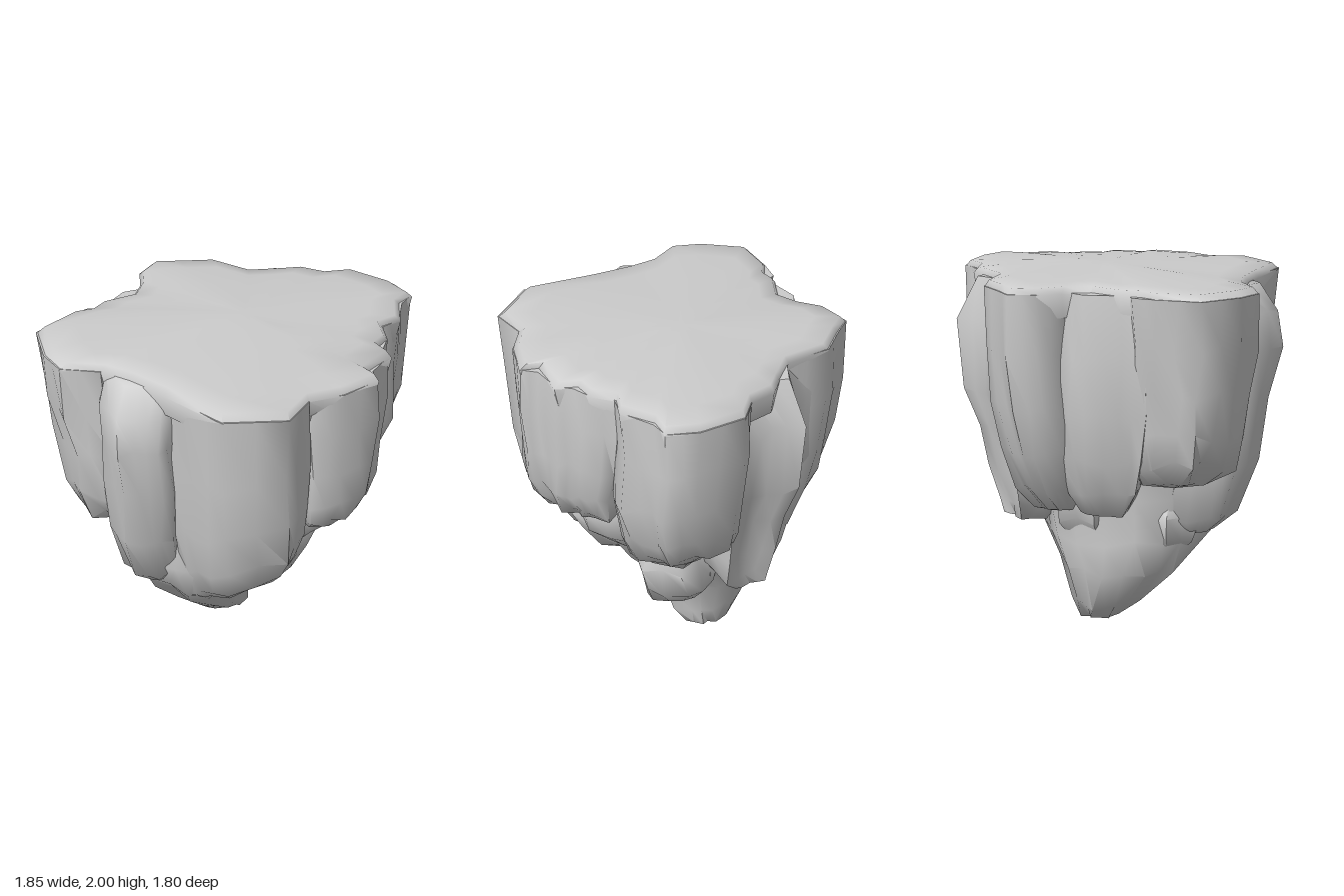
import * as THREE from 'three';
import { toCreasedNormals } from 'three/addons/utils/BufferGeometryUtils.js';

const material = new THREE.MeshStandardMaterial({ color: 0xcccccc });

// Small seeded noise in -1..1
function makeNoise(seed) {
  let s = seed * 7919 + 17;
  return () => {
    s = (s * 16807) % 2147483647;
    return (s / 2147483647) * 2 - 1;
  };
}

// Lofts a plan outline [x, z] through rings [y, scaleX, dx, dz, scaleZ], top to bottom.
// slant tilts the lower end along x and z; rough is the size of the chipping.
function rock(name, outline, rings, { slant = [0, 0], rough = 0.022, seed = 1, crown = 0, split = true } = {}) {
  const noise = makeNoise(seed);
  const plan = [];
  outline.forEach(([x, z], i) => {
    const [nx, nz] = outline[(i + 1) % outline.length];
    plan.push([x, z]);
    if (split) plan.push([(x + nx) / 2, (z + nz) / 2]);
  });
  const n = plan.length;
  const cx = plan.reduce((a, p) => a + p[0], 0) / n;
  const cz = plan.reduce((a, p) => a + p[1], 0) / n;
  const top = rings[0][0];
  const last = rings[rings.length - 1];
  const pos = [];
  const index = [];
  rings.forEach(([y, sx, dx = 0, dz = 0, sz = sx], r) => {
    const t = (top - y) / (top - last[0]);
    const j = r === 0 ? 0 : rough;
    const jy = r === 0 || r === rings.length - 1 ? 0 : rough * 1.6;
    for (const [px, pz] of plan) {
      const x = (px - cx) * sx;
      const z = (pz - cz) * sz;
      pos.push(cx + x + dx + noise() * j,
        y + t * (slant[0] * x + slant[1] * z) + noise() * jy,
        cz + z + dz + noise() * j);
    }
    if (r === 0) return;
    for (let i = 0; i < n; i++) {
      const a = (r - 1) * n + i, b = (r - 1) * n + (i + 1) % n;
      index.push(a, a + n, b + n, a, b + n, b);
    }
  });
  // Closing fans at both ends
  const topMid = rings.length * n;
  const base = topMid - n;
  pos.push(cx + (rings[0][2] || 0), top + crown, cz + (rings[0][3] || 0));
  pos.push(cx + (last[2] || 0), last[0] - 0.02, cz + (last[3] || 0));
  for (let i = 0; i < n; i++) {
    const k = (i + 1) % n;
    index.push(topMid, i, k, topMid + 1, base + k, base + i);
  }
  const geometry = new THREE.BufferGeometry();
  geometry.setAttribute('position', new THREE.Float32BufferAttribute(pos, 3));
  geometry.setIndex(index);
  const mesh = new THREE.Mesh(toCreasedNormals(geometry, 1.1), material);
  mesh.name = name;
  return mesh;
}

// Regular plan outline around a centre
const round = (x, z, r, sides) => Array.from({ length: sides }, (_, i) => {
  const a = (i / sides) * Math.PI * 2;
  return [x + r * Math.cos(a), z - r * Math.sin(a)];
});

export function createModel() {
  const island = new THREE.Group();
  island.name = 'floatingIsland';

  // Gently domed ground with a worn rim
  const rim = [[-0.92, 0.4], [-0.77, 0.61], [-0.63, 0.71], [-0.43, 0.66], [-0.25, 0.69], [-0.03, 0.76],
    [0.33, 0.9], [0.63, 0.76], [0.66, 0.55], [0.8, 0.43], [0.92, 0.23], [0.84, 0.18], [0.91, -0.03],
    [0.82, -0.1], [0.84, -0.2], [0.77, -0.33], [0.84, -0.43], [0.78, -0.62], [0.82, -0.73], [0.68, -0.83],
    [0.43, -0.89], [0.3, -0.81], [0.15, -0.82], [0.05, -0.76], [-0.12, -0.67], [-0.37, -0.72], [-0.55, -0.63],
    [-0.67, -0.58], [-0.69, -0.43], [-0.63, -0.3], [-0.61, -0.15], [-0.74, 0], [-0.76, 0.1], [-0.84, 0.17]];
  island.add(rock('groundTop', rim,
    [[1.995, 0.2], [1.985, 0.5], [1.972, 0.8], [1.96, 0.955], [1.925, 0.995], [1.8, 0.965]],
    { crown: 0.005, rough: 0.001, split: false }));

  // Tapering heart of the rock
  island.add(rock('core', round(0, 0, 1, 9), [
    [1.85, 0.6, 0.03, 0, 0.65], [1.0, 0.54, 0.05, 0.02, 0.62], [0.75, 0.47, 0, 0.09, 0.56],
    [0.54, 0.39, -0.08, 0.06, 0.49], [0.35, 0.31, -0.15, 0, 0.34],
    [0.15, 0.23, -0.13, -0.08, 0.2], [0.02, 0.12, -0.08, -0.12, 0.1]], { rough: 0.02, seed: 5 }));

  // Hanging cliff slabs around the rim
  island.add(rock('frontLeftCliff',
    [[-0.92, 0.4], [-0.77, 0.61], [-0.63, 0.71], [-0.42, 0.66], [-0.3, 0.3], [-0.5, 0], [-0.78, 0.05], [-0.84, 0.17]],
    [[1.93, 0.99], [1.65, 0.96, 0.02], [1.4, 0.92, 0.05], [1.15, 0.91, 0.06, -0.02], [1.0, 0.78, 0.08, -0.04],
      [0.89, 0.48, 0.13, -0.08]], { slant: [-0.25, 0], seed: 2 }));

  island.add(rock('frontColumn',
    [[-0.45, 0.62], [-0.41, 0.75], [-0.25, 0.88], [-0.1, 0.83], [-0.01, 0.76], [-0.02, 0.4], [-0.44, 0.4]],
    [[1.93, 1, 0, -0.14], [1.78, 1, 0, -0.04], [1.6, 0.99, 0, -0.01], [1.3, 0.98, -0.01, -0.07],
      [0.95, 0.93, -0.03, -0.12], [0.66, 0.78, -0.02, -0.2], [0.57, 0.5, -0.02, -0.25]],
    { rough: 0.012, seed: 3 }));

  island.add(rock('frontRightCliff',
    [[-0.06, 0.7], [0.1, 0.8], [0.33, 0.9], [0.63, 0.76], [0.66, 0.55], [0.5, 0.2], [0, 0.3]],
    [[1.93, 0.99], [1.5, 0.98, 0, -0.03], [1.15, 0.96, 0, -0.07], [0.88, 0.92, -0.02, -0.12],
      [0.7, 0.83, -0.04, -0.17], [0.61, 0.65, -0.06, -0.22]], { slant: [0.52, 0], rough: 0.016, seed: 4 }));

  island.add(rock('leftSideCliff',
    [[0.66, 0.52], [0.8, 0.43], [0.91, 0.23], [0.86, 0.15], [0.89, -0.02], [0.84, -0.1], [0.83, -0.2],
      [0.75, -0.33], [0.4, -0.25], [0.4, 0.4]],
    [[1.93, 0.99], [1.7, 0.98, 0.01], [1.45, 0.94, 0, 0.01, 0.92], [1.25, 0.88, 0, 0.03, 0.82],
      [1.12, 0.76, -0.03, 0.04], [1.06, 0.55, -0.06, 0.05]], { rough: 0.013, seed: 6 }));

  island.add(rock('rearLeftCliff',
    [[0.75, -0.28], [0.83, -0.43], [0.79, -0.62], [0.81, -0.73], [0.68, -0.83], [0.43, -0.89], [0.3, -0.81],
      [0.25, -0.5], [0.4, -0.2]],
    [[1.93, 0.99], [1.65, 0.99], [1.35, 0.96, 0, 0.03], [1.12, 0.9, -0.04, 0.05], [0.98, 0.78, -0.08, 0.08],
      [0.9, 0.55, -0.11, 0.12]], { slant: [0.2, -0.38], rough: 0.016, seed: 7 }));

  island.add(rock('rearColumn',
    [[0.32, -0.8], [0.15, -0.81], [0, -0.9], [-0.13, -0.76], [-0.32, -0.7], [-0.3, -0.4], [0.28, -0.4]],
    [[1.93, 0.95, 0, 0.11], [1.7, 1, 0, 0.01], [1.3, 0.98, 0, 0.03], [1.1, 0.94, 0, 0.1], [0.85, 0.86, 0, 0.14],
      [0.68, 0.72, 0, 0.15], [0.59, 0.5, 0, 0.13]], { rough: 0.014, seed: 8 }));

  island.add(rock('rearRightCliff',
    [[-0.1, -0.66], [-0.37, -0.72], [-0.55, -0.63], [-0.67, -0.58], [-0.69, -0.43], [-0.6, -0.28], [-0.3, -0.2],
      [-0.05, -0.4]],
    [[1.93, 0.99], [1.6, 1], [1.3, 0.97, 0.02, 0.02], [1.05, 0.9, 0.05, 0.05], [0.83, 0.75, 0.1, 0.1],
      [0.7, 0.5, 0.13, 0.14]], { slant: [-0.15, 0], rough: 0.016, seed: 9 }));

  island.add(rock('rightSideCliff',
    [[-0.59, -0.32], [-0.72, -0.2], [-0.75, 0], [-0.77, 0.12], [-0.4, 0.2], [-0.3, -0.3]],
    [[1.93, 0.93, 0.03], [1.6, 1], [1.3, 1, 0.02], [1.05, 0.95, 0.05], [0.85, 0.78, 0.09], [0.72, 0.5, 0.13]],
    { rough: 0.014, seed: 10 }));

  // Smaller boulders clinging to the underside: x, z, radius, top, bottom
  const boulders = [
    [0.44, 0.08, 0.23, 1.14, 0.66], [0.24, -0.2, 0.24, 0.82, 0.3], [0.28, 0.32, 0.25, 0.95, 0.5],
    [-0.27, 0.26, 0.2, 0.75, 0.36], [-0.25, -0.16, 0.23, 0.98, 0.42], [0.05, -0.25, 0.17, 0.85, 0.36],
    [0.4, -0.38, 0.2, 1.1, 0.68]];
  boulders.forEach(([x, z, r, top, bottom], i) => {
    const h = top - bottom;
    island.add(rock('boulder' + (i + 1), round(x, z, r, 6), [
      [top, 0.75], [top - h * 0.25, 1], [top - h * 0.6, 0.95, -x * 0.1, -z * 0.1],
      [top - h * 0.85, 0.72, -x * 0.25, -z * 0.25], [bottom + 0.02, 0.4, -x * 0.35, -z * 0.35]],
    { rough: 0.018, seed: 20 + i }));
  });

  return island;
}
